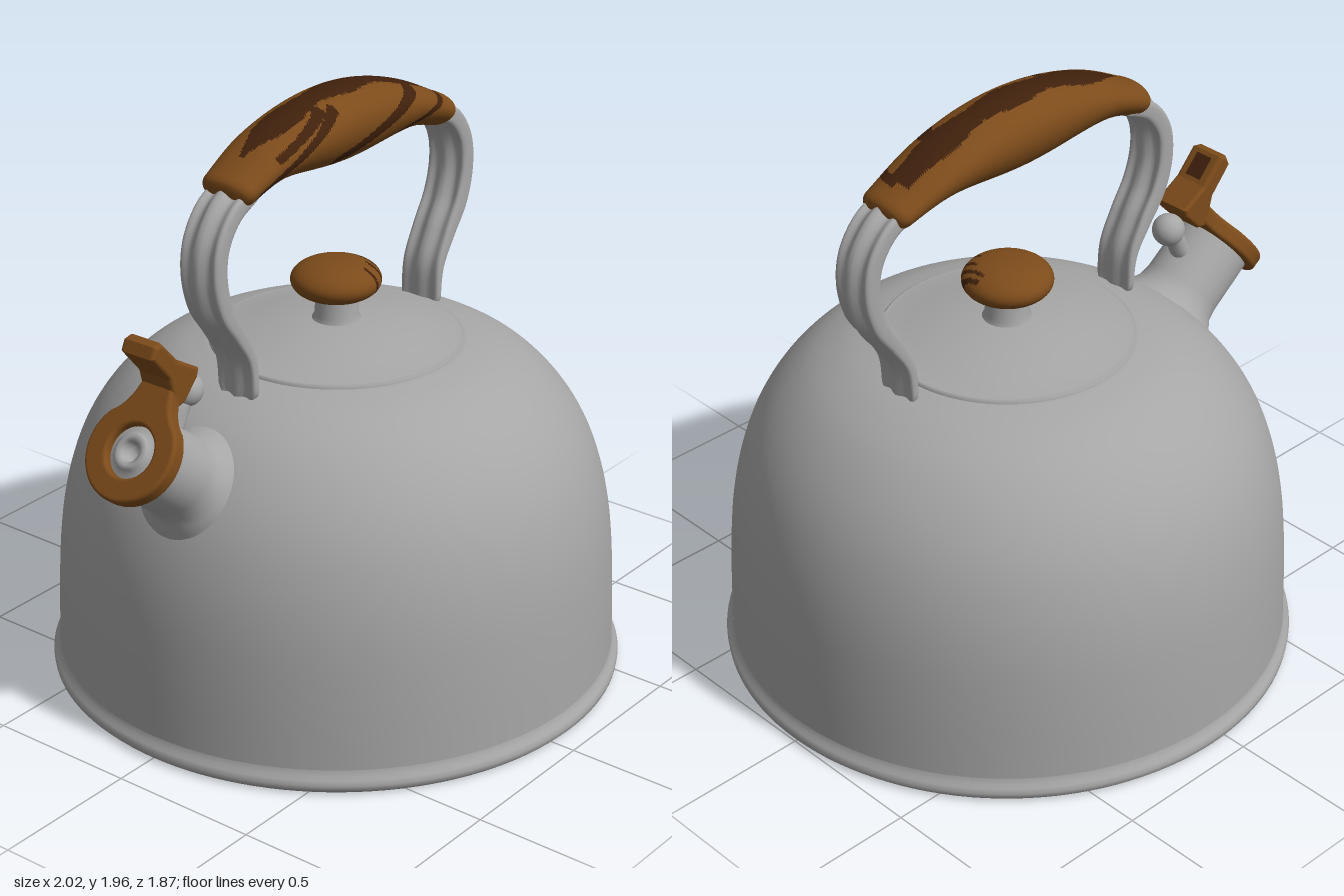
import * as THREE from 'three';

const metal = new THREE.MeshStandardMaterial({ color: 0xa6a6a6 });
metal.name = 'brushed metal';
const wood = new THREE.MeshStandardMaterial({ color: 0x7c4b1a });
wood.name = 'brown wood';
const grain = new THREE.MeshStandardMaterial({ color: 0x40210c });
grain.name = 'dark wood grain';

const v2 = (pts) => pts.map(([x, y]) => new THREE.Vector2(x, y));

function part(parent, name, geometry, material, x = 0, y = 0, z = 0) {
  const mesh = new THREE.Mesh(geometry, material);
  mesh.name = name;
  mesh.position.set(x, y, z);
  parent.add(mesh);
  return mesh;
}

const lathe = (pts, sides = 96) => new THREE.LatheGeometry(v2(pts), sides);

// Sweeps section(t, angle) -> [normal, z] along a curve in the xy plane, with closed ends
function sweep(pts, n, m, section) {
  const curve = new THREE.CatmullRomCurve3(pts.map(([x, y]) => new THREE.Vector3(x, y, 0)));
  const pos = [], index = [];
  for (let i = 0; i <= n; i++) {
    const c = curve.getPointAt(i / n), d = curve.getTangentAt(i / n);
    for (let j = 0; j < m; j++) {
      const [s, z] = section(i / n, (j / m) * Math.PI * 2);
      pos.push(c.x - d.y * s, c.y + d.x * s, z);
    }
  }
  const start = (n + 1) * m;
  for (const t of [0, 1]) pos.push(...curve.getPointAt(t).toArray());
  for (let j = 0; j < m; j++) {
    const k = (j + 1) % m;
    for (let i = 0; i < n; i++) {
      const a = i * m + j, b = i * m + k;
      index.push(a, b, a + m, b, b + m, a + m);
    }
    index.push(start, k, j, start + 1, n * m + j, n * m + k);
  }
  const g = new THREE.BufferGeometry();
  g.setAttribute('position', new THREE.Float32BufferAttribute(pos, 3));
  g.setIndex(index);
  g.computeVertexNormals();
  return g;
}

// Splits triangles into two material groups by their centre point
function paint(g, isDark) {
  const p = g.attributes.position, src = g.index.array, lists = [[], []];
  for (let i = 0; i < src.length; i += 3) {
    const tri = [src[i], src[i + 1], src[i + 2]];
    const mid = (f) => tri.reduce((sum, k) => sum + p[f](k), 0) / 3;
    lists[isDark(mid('getX'), mid('getY'), mid('getZ')) ? 1 : 0].push(...tri);
  }
  g.setIndex([...lists[0], ...lists[1]]);
  g.clearGroups();
  g.addGroup(0, lists[0].length, 0);
  g.addGroup(lists[0].length, lists[1].length, 1);
  return g;
}

const endRound = (t, len, min) => {
  const d = Math.min(1, t / len);
  return min + (1 - min) * Math.sqrt(1 - (1 - d) ** 2);
};

function addBody(root) {
  const body = new THREE.Group();
  body.name = 'body';
  body.position.x = 0.07;
  root.add(body);
  const dome = new THREE.SplineCurve(v2([[0.912, 0.07], [0.905, 0.3], [0.89, 0.5], [0.86, 0.66],
    [0.81, 0.8], [0.735, 0.92], [0.635, 1.02], [0.52, 1.085], [0.41, 1.118]])).getPoints(48);
  part(body, 'shell', new THREE.LatheGeometry([...dome, new THREE.Vector2(0.39, 1.12)], 128), metal);
  // Rolled rim and slightly recessed base
  part(body, 'baseRim', lathe([[0.875, 0.014], [0.882, 0.004], [0.9, 0], [0.92, 0.002], [0.932, 0.014],
    [0.934, 0.03], [0.928, 0.046], [0.917, 0.056], [0.912, 0.075]], 128), metal);
  part(body, 'basePlate', lathe([[0, 0.012], [0.88, 0.012]], 128), metal);
  part(body, 'lid', lathe([[0.407, 1.112], [0.406, 1.126], [0.398, 1.131], [0.388, 1.127], [0.3, 1.149],
    [0.2, 1.171], [0.1, 1.185], [0, 1.19]]), metal);
  part(body, 'knobNeck', lathe([[0.085, 1.175], [0.07, 1.2], [0.067, 1.28]], 48), metal);
  // Rounded wooden knob with short grain marks on its front
  const profile = [];
  for (let i = 0; i <= 32; i++) {
    const a = -Math.PI / 2 + (i / 32) * Math.PI;
    profile.push([0.145 * Math.abs(Math.cos(a)) ** 0.8, 0.063 * Math.sin(a)]);
  }
  const marks = [0.03, 0.075, 0.105, 0.13];
  const knob = paint(lathe(profile, 120), (x, y, z) =>
    z > 0 && y > -0.045 && y < 0.05 && marks.some((m) => Math.abs(x - m + y * 0.12) < 0.006));
  part(body, 'knob', knob, [wood, grain], -0.003, 1.317, 0);
}

function addHandle(root) {
  const handle = new THREE.Group();
  handle.name = 'handle';
  root.add(handle);
  // Ribbed metal straps, thinner at the feet
  const arm = [[0.46, 1.765], [0.55, 1.715], [0.608, 1.63], [0.62, 1.53], [0.592, 1.42],
    [0.53, 1.32], [0.478, 1.22], [0.465, 1.075]];
  const strap = (t, a) => {
    const foot = endRound(1 - t, 0.06, 0.4);
    const c = Math.cos(a), s = Math.sin(a);
    const z = Math.sign(s) * Math.abs(s) ** 0.8;
    const rib = 0.76 + 0.24 * Math.cos(z * Math.PI * 2);
    const thick = 0.046 - 0.024 * THREE.MathUtils.smoothstep(t, 0.5, 0.95);
    return [thick * rib * Math.sign(c) * Math.abs(c) ** 0.6, 0.075 * z * foot];
  };
  for (const [name, side] of [['rightStrap', -1], ['leftStrap', 1]])
    part(handle, name, sweep(arm.map(([x, y]) => [0.053 + side * x, y]), 60, 48, strap), metal);

  // Arched wooden grip, fuller in the middle and wider at the top
  const grip = sweep([[-0.475, 1.755], [-0.28, 1.825], [0.05, 1.84], [0.36, 1.815], [0.58, 1.74]], 150, 72, (t, a) => {
    const e = Math.min(endRound(t, 0.035, 0.55), endRound(1 - t, 0.035, 0.55));
    const bulge = Math.sin(Math.PI * t);
    const n = Math.cos(a);
    return [(0.055 + 0.065 * bulge ** 2) * e * n, (0.094 + 0.036 * bulge) * e * Math.sin(a) * (1 + 0.14 * n)];
  });
  // Diagonal grain lines: x1, y1, x2, y2, half width
  const streaks = [[-0.41, 1.76, -0.06, 1.93, 0.013], [-0.33, 1.85, -0.1, 1.935, 0.01],
    [-0.04, 1.765, 0.34, 1.895, 0.02], [0.25, 1.755, 0.54, 1.835, 0.011]];
  const near = (x, y, [x1, y1, x2, y2, w]) => {
    const dx = x2 - x1, dy = y2 - y1;
    const k = THREE.MathUtils.clamp(((x - x1) * dx + (y - y1) * dy) / (dx * dx + dy * dy), 0, 1);
    return Math.hypot(x - x1 - k * dx, y - y1 - k * dy) < w;
  };
  paint(grip, (x, y, z) => {
    const half = 0.052 + 0.009 * Math.sin(x * 23);
    const onTop = y > 1.79 && x > -0.39 && x < 0.51 && Math.abs(z + 0.002) < half * Math.min(1, (x + 0.41) * 8);
    return onTop || (z > 0 && streaks.some((s) => near(x, y, s)));
  });
  part(handle, 'grip', grip, [wood, grain]);
}

function addSpout(root) {
  // Local y runs out along the spout, local x up across its mouth
  const spout = new THREE.Group();
  spout.name = 'spout';
  spout.position.set(-0.62, 0.86, 0);
  spout.rotation.z = 0.91;
  root.add(spout);
  part(spout, 'spoutTube', lathe([[0.2, 0], [0.185, 0.04], [0.155, 0.07], [0.138, 0.1], [0.132, 0.14], [0.13, 0.34]], 64), metal);
  for (const side of [-1, 1]) {
    const lug = part(spout, 'spoutLug', new THREE.SphereGeometry(0.06, 24, 16), metal, 0.165, 0.012, side * 0.125);
    lug.scale.set(1, 0.45, 1);
  }

  // Drop-shaped wooden cap with a round opening
  const outline = new THREE.Shape();
  outline.absarc(0, 0, 0.148, 0.9, Math.PI * 2 - 0.9, false);
  outline.quadraticCurveTo(0.14, -0.05, 0.25, -0.045);
  outline.lineTo(0.25, 0.045);
  outline.quadraticCurveTo(0.14, 0.05, 0.148 * Math.cos(0.9), 0.148 * Math.sin(0.9));
  const opening = new THREE.Path();
  opening.absarc(0, 0, 0.095, 0, Math.PI * 2, true);
  outline.holes.push(opening);
  const bevel = { bevelThickness: 0.014, bevelSize: 0.012, bevelSegments: 4, curveSegments: 40 };
  const cap = new THREE.ExtrudeGeometry(outline, { depth: 0.03, ...bevel });
  cap.rotateX(-Math.PI / 2);
  part(spout, 'spoutCap', cap, wood, 0, 0.335, 0);
  part(spout, 'whistle', lathe([[0.1, 0.35], [0.065, 0.352], [0.058, 0.372], [0.045, 0.376], [0.032, 0.37],
    [0.026, 0.335], [0, 0.333]], 48), metal);

  // Thumb lever above the cap
  const profile = new THREE.Shape(v2([[-0.862, 1.385], [-0.852, 1.407], [-0.835, 1.41], [-0.765, 1.332], [-0.68, 1.282],
    [-0.685, 1.265], [-0.74, 1.208], [-0.775, 1.2], [-0.775, 1.24], [-0.79, 1.3]]));
  const lever = new THREE.ExtrudeGeometry(profile, { depth: 0.1, ...bevel });
  part(root, 'thumbLever', lever, wood, 0, 0, -0.05);
  const mark = part(root, 'leverGrain', new THREE.BoxGeometry(0.08, 0.006, 0.06), grain, -0.793, 1.383, 0);
  mark.rotation.z = -0.84;

  // Hinge arm ending in a ball
  const arm = new THREE.CatmullRomCurve3([[-0.76, 1.06], [-0.715, 1.1], [-0.69, 1.15], [-0.655, 1.195]]
    .map(([x, y]) => new THREE.Vector3(x, y, 0)));
  part(root, 'hingeArm', new THREE.TubeGeometry(arm, 20, 0.032, 16), metal);
  part(root, 'hingeBall', new THREE.SphereGeometry(0.054, 32, 20), metal, -0.658, 1.198, 0);
}

export function createModel() {
  const root = new THREE.Group();
  root.name = 'kettle';
  addBody(root);
  addHandle(root);
  addSpout(root);
  return root;
}
